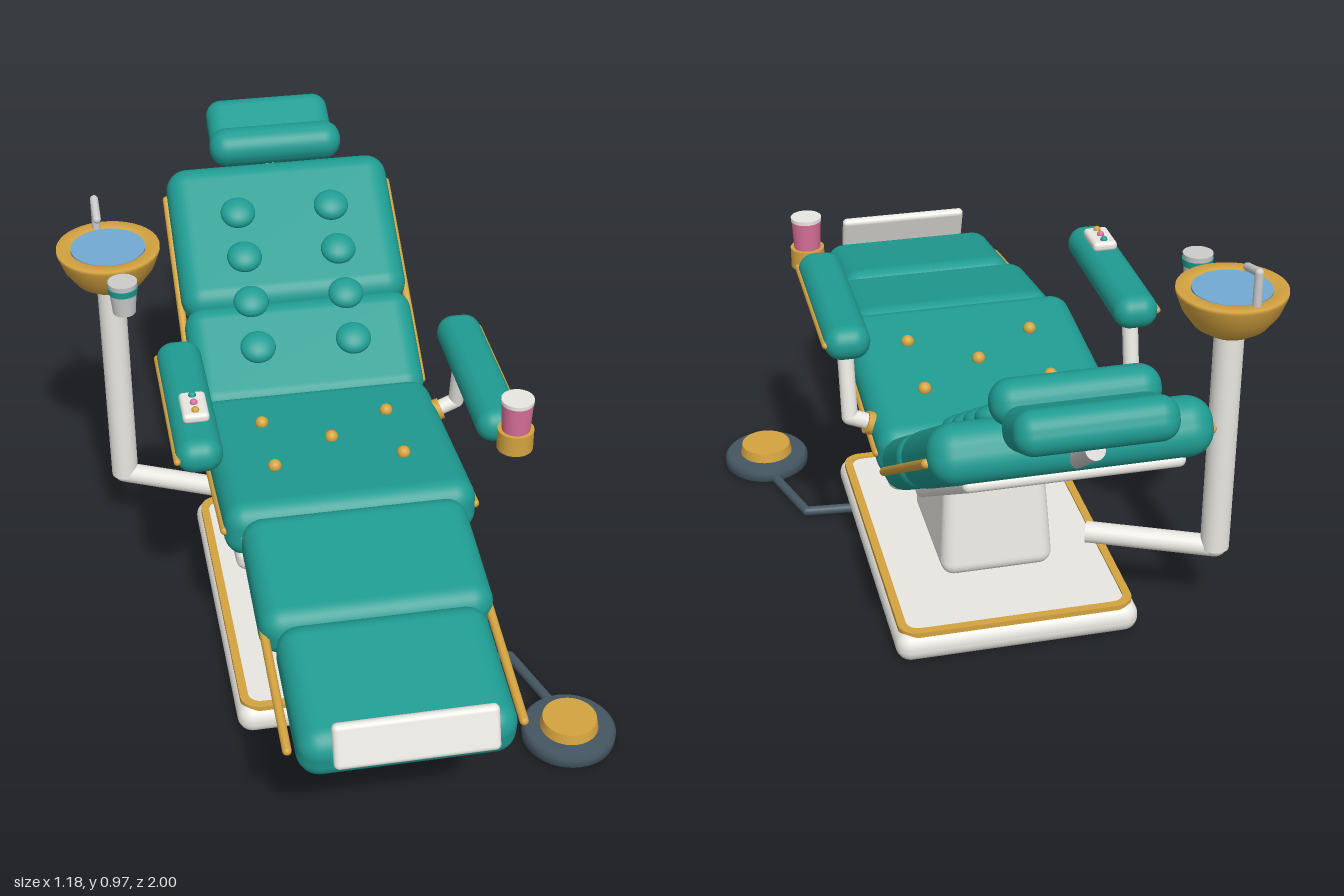
import * as THREE from 'three';
import { RoundedBoxGeometry } from 'three/addons/geometries/RoundedBoxGeometry.js';

const mat = (color) => new THREE.MeshStandardMaterial({ color });
const teal = mat(0x1f9c92), gold = mat(0xd4a340), white = mat(0xe9e7e1), grey = mat(0xcccccc);
const dark = mat(0x455661), pink = mat(0xd96f98), blue = mat(0x72aad2);

const CX = 0.007; // centre line of the chair
const V = (x, y, z) => new THREE.Vector3(x, y, z);
const rad = THREE.MathUtils.degToRad;

export function createModel() {
  const root = new THREE.Group();

  const add = (name, geometry, material, x = 0, y = 0, z = 0, tilt = 0, parent = root) => {
    const mesh = new THREE.Mesh(geometry, material);
    mesh.name = name;
    mesh.position.set(x, y, z);
    mesh.rotation.x = rad(tilt);
    parent.add(mesh);
    return mesh;
  };
  const box = (w, h, d, r) => new RoundedBoxGeometry(w, h, d, 5, r);
  const disc = (rTop, rBottom, h) => new THREE.CylinderGeometry(rTop, rBottom, h, 32);

  // Round bar between two points
  const rod = (name, a, b, r, material, rounded = false) => {
    const len = a.distanceTo(b);
    const geo = rounded ? new THREE.CapsuleGeometry(r, len, 6, 16) : new THREE.CylinderGeometry(r, r, len, 24);
    const mesh = add(name, geo, material);
    mesh.position.copy(a).lerp(b, 0.5);
    mesh.quaternion.setFromUnitVectors(V(0, 1, 0), b.clone().sub(a).normalize());
    return mesh;
  };

  const roundedRect = (target, w, d, r) => {
    const x = w / 2, y = d / 2, h = Math.PI / 2;
    target.absarc(x - r, y - r, r, 0, h);
    target.absarc(r - x, y - r, r, h, 2 * h);
    target.absarc(r - x, r - y, r, 2 * h, 3 * h);
    target.absarc(x - r, r - y, r, 3 * h, 4 * h);
    target.closePath();
    return target;
  };

  // Base plate with a raised gold frame
  add('basePlate', box(0.585, 0.077, 0.85, 0.036), white, CX, 0.0385, 0.015);
  const frame = roundedRect(new THREE.Shape(), 0.565, 0.825, 0.045);
  frame.holes.push(roundedRect(new THREE.Path(), 0.525, 0.785, 0.03));
  const frameGeo = new THREE.ExtrudeGeometry(frame, { depth: 0.02, bevelEnabled: false, curveSegments: 8 });
  frameGeo.rotateX(-Math.PI / 2);
  add('baseTrim', frameGeo, gold, CX, 0.061, 0.015);

  // Tapered pedestal and collar
  const pedestal = box(0.28, 0.29, 0.36, 0.035);
  const p = pedestal.attributes.position;
  for (let i = 0; i < p.count; i++) {
    const t = (p.getY(i) + 0.145) / 0.29;
    p.setX(i, p.getX(i) * (1 - 0.13 * t));
    p.setZ(i, p.getZ(i) * (1 - 0.2 * t));
  }
  pedestal.computeVertexNormals();
  add('pedestal', pedestal, white, CX, 0.215, -0.008);
  add('pedestalCollar', box(0.27, 0.035, 0.325, 0.014), gold, CX, 0.355, -0.01);

  // Seat, leg pads and their gold piping
  add('seatPan', box(0.54, 0.06, 0.55, 0.025), white, CX, 0.41, 0.048, -5);
  add('seatCushion', box(0.585, 0.135, 0.56, 0.05), teal, CX, 0.478, 0.042, -5.5);
  add('thighPad', box(0.52, 0.125, 0.34, 0.05), teal, CX, 0.475, 0.457, 9);
  add('calfPad', box(0.465, 0.125, 0.345, 0.05), teal, CX, 0.427, 0.78, 9);
  add('footPlate', box(0.345, 0.1, 0.026, 0.012), white, CX + 0.003, 0.477, 0.977, -20);
  for (const s of [-1, 1]) {
    rod('seatPiping', V(CX + s * 0.292, 0.5, 0.28), V(CX + s * 0.292, 0.455, -0.19), 0.01, gold, true);
    rod('legPiping', V(CX + s * 0.25, 0.405, 0.9), V(CX + s * 0.25, 0.5, 0.315), 0.01, gold, true);
  }
  for (const [x, y, z] of [[-0.153, 0.54, -0.07], [0.153, 0.54, -0.07], [0, 0.55, 0.03], [-0.153, 0.56, 0.135], [0.153, 0.56, 0.135]])
    add('seatButton', new THREE.SphereGeometry(0.016, 16, 12), gold, CX + x, y, z);

  // Backrest: its group lies along the slope, local -z runs to the head
  const back = new THREE.Group();
  back.name = 'backrest';
  back.position.set(CX, 0.632, -0.533);
  back.rotation.x = rad(32.5);
  root.add(back);
  add('lowerBackPad', box(0.585, 0.12, 0.3, 0.05), teal, 0, 0, 0.2, 0, back);
  add('upperBackPad', box(0.585, 0.125, 0.425, 0.055), teal, 0, 0, -0.143, 0, back);
  add('backPanel', box(0.46, 0.035, 0.6, 0.015), white, 0, -0.062, -0.01, 0, back);
  for (const s of [-1, 1]) {
    const piping = new THREE.CapsuleGeometry(0.01, 0.58, 6, 16).rotateX(Math.PI / 2);
    add('backPiping', piping, gold, s * 0.294, -0.012, 0, 0, back);
    for (let i = 0; i < 4; i++) {
      const tuft = add('backTuft', new THREE.SphereGeometry(0.045, 24, 16), teal, s * 0.122, 0.07, -0.19 + i * 0.128, 0, back);
      tuft.scale.set(1, 0.55, 0.95);
    }
  }

  // Headrest
  rod('headrestStem', V(CX, 0.755, -0.8), V(CX, 0.865, -0.95), 0.02, grey);
  add('headPad', box(0.325, 0.09, 0.165, 0.04), teal, CX, 0.903, -0.914, 25);
  add('neckRoll', box(0.345, 0.096, 0.096, 0.045), teal, CX, 0.906, -0.805, 25);

  // Armrests on bent posts
  for (const s of [-1, 1]) {
    const x = CX + s * 0.34;
    add('armrest', box(0.106, 0.082, 0.465, 0.04), teal, x, 0.713, 0.073);
    rod('armPiping', V(x + s * 0.051, 0.713, 0.29), V(x + s * 0.051, 0.713, -0.13), 0.008, gold, true);
    rod('armPost', V(x, 0.68, -0.083), V(x, 0.515, -0.117), 0.019, white, true);
    rod('armElbow', V(x, 0.515, -0.117), V(CX + s * 0.27, 0.485, -0.117), 0.019, white);
    rod('armCollar', V(CX + s * 0.303, 0.496, -0.117), V(CX + s * 0.285, 0.489, -0.117), 0.027, gold);
  }

  // Remote control on the right armrest
  add('remote', box(0.06, 0.024, 0.1, 0.01), white, -0.33, 0.768, 0.165);
  [teal, pink, gold].forEach((m, i) =>
    add('remoteButton', new THREE.SphereGeometry(0.009, 12, 8), m, -0.33, 0.781, 0.135 + i * 0.03));

  // Drink in a holder on the left armrest
  add('cupHolder', disc(0.041, 0.041, 0.05), gold, 0.367, 0.72, 0.338);
  add('drinkCup', disc(0.036, 0.03, 0.11), pink, 0.367, 0.762, 0.338);
  add('drinkLid', disc(0.037, 0.037, 0.009), white, 0.367, 0.82, 0.338);

  // Rinse basin on its column
  const bx = -0.468, bz = -0.382;
  rod('basinArm', V(bx, 0.205, bz), V(-0.19, 0.205, -0.255), 0.026, white);
  add('basinElbow', new THREE.SphereGeometry(0.03, 20, 14), white, bx, 0.21, bz);
  add('basinColumn', disc(0.034, 0.034, 0.59), white, bx, 0.5, bz);
  const bowl = [[0, 0.78], [0.055, 0.78], [0.085, 0.8], [0.11, 0.835], [0.125, 0.875], [0.125, 0.884], [0.094, 0.884], [0.088, 0.872], [0, 0.872]];
  const bowlGeo = new THREE.LatheGeometry(bowl.map(([r, y]) => new THREE.Vector2(r, y)), 40);
  add('basinBowl', bowlGeo, gold, bx, 0, bz).material.side = THREE.DoubleSide;
  add('basinWater', disc(0.09, 0.09, 0.012), blue, bx, 0.877, bz);
  rod('faucetPipe', V(-0.488, 0.87, -0.48), V(-0.488, 0.962, -0.48), 0.01, grey, true);
  rod('faucetSpout', V(-0.488, 0.962, -0.48), V(-0.488, 0.944, -0.412), 0.01, grey, true);

  // Rinsing cup beside the basin
  rod('rinseCupArm', V(-0.45, 0.815, -0.22), V(-0.462, 0.815, -0.33), 0.008, grey);
  add('rinseCup', disc(0.035, 0.027, 0.083), grey, -0.449, 0.847, -0.205);
  add('rinseCupBand', disc(0.036, 0.0345, 0.016), teal, -0.449, 0.868, -0.205);

  // Foot pedal linked to the base
  rod('pedalArm', V(0.477, 0.012, 0.5), V(0.41, 0.012, 0.285), 0.012, dark, true);
  rod('pedalLink', V(0.41, 0.012, 0.285), V(0.25, 0.012, 0.27), 0.012, dark, true);
  const pedalProfile = [[0, 0], [0.1, 0], [0.11, 0.008], [0.111, 0.03], [0.102, 0.04], [0, 0.04]];
  add('pedalBase', new THREE.LatheGeometry(pedalProfile.map(([r, y]) => new THREE.Vector2(r, y)), 40), dark, 0.477, 0, 0.57);
  add('pedalButton', disc(0.064, 0.069, 0.026), gold, 0.477, 0.052, 0.57);

  return root;
}
